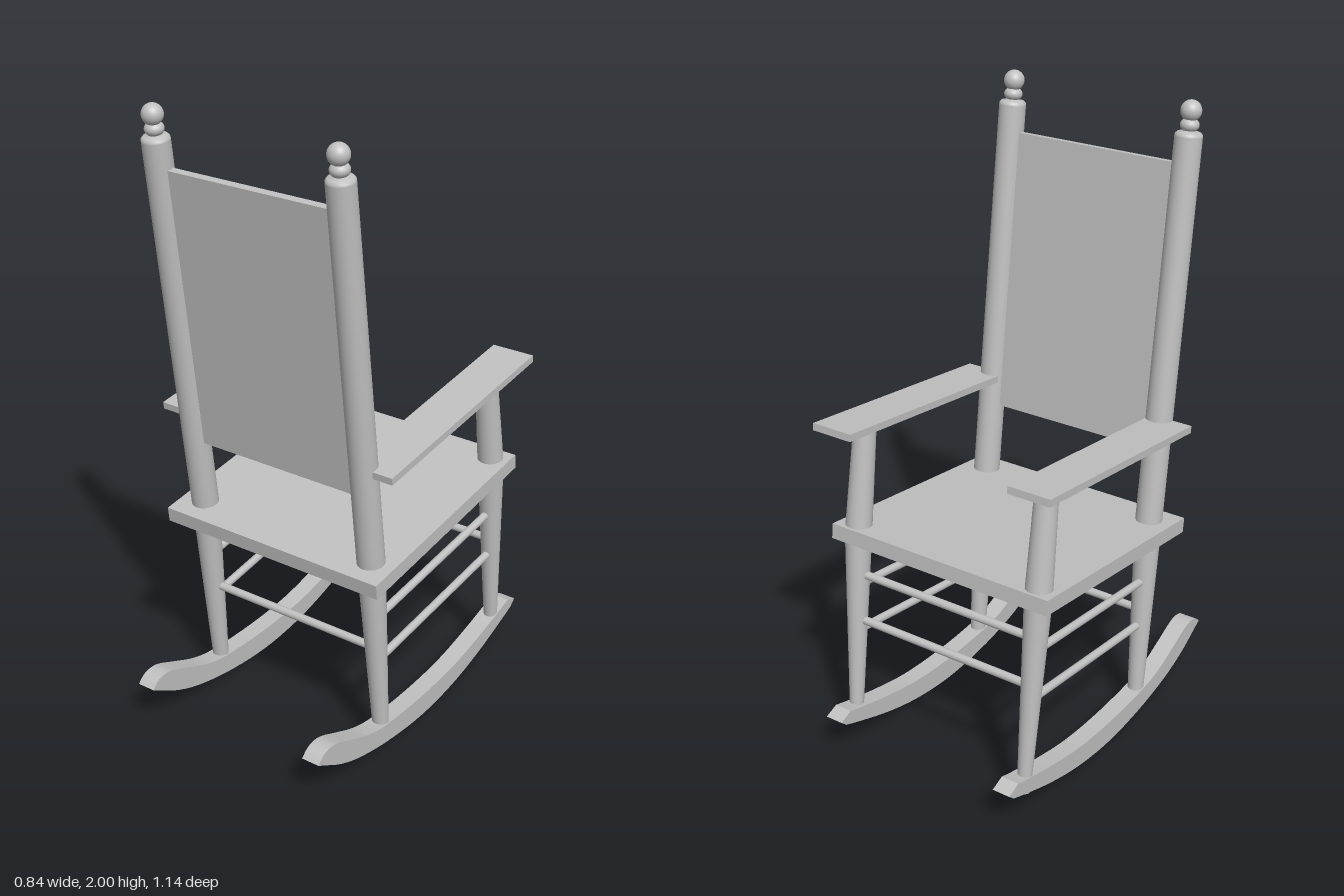
import * as THREE from 'three';

export function createModel() {
  const chair = new THREE.Group();
  chair.name = 'rockingChair';
  const grey = new THREE.MeshStandardMaterial({ color: 0xc0c0c0 });
  grey.name = 'grey';
  const up = new THREE.Vector3(0, 1, 0);

  const add = (name, geometry, parent = chair) => {
    const mesh = new THREE.Mesh(geometry, grey);
    mesh.name = name;
    parent.add(mesh);
    return mesh;
  };

  // Round rod from a (radius ra) to b (radius rb)
  const rod = (name, a, b, ra, rb = ra, sides = 28) => {
    const start = new THREE.Vector3(...a);
    const axis = new THREE.Vector3(...b).sub(start);
    const mesh = add(name, new THREE.CylinderGeometry(rb, ra, axis.length(), sides));
    mesh.position.copy(start).addScaledVector(axis, 0.5);
    mesh.quaternion.setFromUnitVectors(up, axis.normalize());
    return mesh;
  };

  // Board leaning about the x axis
  const board = (name, size, position, lean) => {
    const mesh = add(name, new THREE.BoxGeometry(...size));
    mesh.position.set(...position);
    mesh.rotation.x = lean;
  };

  // Seat and back panel
  board('seat', [0.79, 0.049, 0.793], [0, 0.697, -0.053], 0.117);
  board('backPanel', [0.56, 0.9, 0.025], [0, 1.367, 0.341], 0.125);

  // Rocker side profile, drawn as (z, y)
  const v = (z, y) => new THREE.Vector2(z, y);
  const profile = new THREE.Shape();
  profile.moveTo(0.568, 0.155);
  profile.splineThru([v(0.54, 0.178), v(0.5, 0.184), v(0.46, 0.173), v(0.4, 0.146), v(0.296, 0.103),
    v(0.19, 0.083), v(0, 0.075), v(-0.18, 0.084), v(-0.34, 0.113), v(-0.47, 0.145), v(-0.525, 0.161)]);
  profile.lineTo(-0.572, 0.143);
  profile.lineTo(-0.55, 0.123);
  profile.splineThru([v(-0.487, 0.099), v(-0.34, 0.05), v(-0.18, 0.014), v(0, 0),
    v(0.19, 0.016), v(0.35, 0.05), v(0.455, 0.09), v(0.53, 0.133)]);
  profile.closePath();
  const rockerGeometry = new THREE.ExtrudeGeometry(profile, { depth: 0.06, bevelEnabled: false, curveSegments: 4 });
  rockerGeometry.translate(0, 0, -0.03).rotateY(-Math.PI / 2);

  // Rounded shoulder and neck below the finial ball
  const shoulder = new THREE.LatheGeometry([
    v(0.042, 0), v(0.041, 0.006), v(0.035, 0.012), v(0.024, 0.014), v(0.015, 0.02), v(0.015, 0.05),
  ], 28);

  for (const s of [1, -1]) {
    const side = s > 0 ? 'left' : 'right';
    add(side + 'Rocker', rockerGeometry).position.x = s * 0.321;

    // Back post with a tapered leg
    rod(side + 'BackLeg', [s * 0.321, 0.08, 0.2], [s * 0.316, 0.66, 0.251], 0.026, 0.043);
    const post = rod(side + 'BackPost', [s * 0.316, 0.66, 0.251], [s * 0.313, 1.895, 0.407], 0.043, 0.042);

    // Finial in line with the post
    const finial = new THREE.Group();
    finial.name = side + 'Finial';
    finial.position.set(s * 0.313, 1.895, 0.407);
    finial.quaternion.copy(post.quaternion);
    add('finialShoulder', shoulder, finial);
    const bead = add('finialBead', new THREE.SphereGeometry(0.029, 24, 16), finial);
    bead.position.y = 0.032;
    bead.scale.y = 0.75;
    add('finialBall', new THREE.SphereGeometry(0.032, 28, 18), finial).position.y = 0.074;
    chair.add(finial);

    // Front leg, arm support and arm
    rod(side + 'FrontLeg', [s * 0.325, 0.083, -0.46], [s * 0.333, 0.735, -0.397], 0.021, 0.042);
    rod(side + 'ArmSupport', [s * 0.333, 0.735, -0.397], [s * 0.329, 1.085, -0.348], 0.042, 0.035);
    board(side + 'Arm', [0.142, 0.023, 0.79], [s * 0.351, 1.056, -0.083], 0.116);

    // Side stretchers
    rod(side + 'UpperStretcher', [s * 0.32, 0.477, 0.235], [s * 0.33, 0.555, -0.41], 0.013, 0.013, 16);
    rod(side + 'LowerStretcher', [s * 0.32, 0.319, 0.22], [s * 0.33, 0.397, -0.43], 0.013, 0.013, 16);
  }

  // Cross stretchers: two in front, one behind
  for (const [name, y, z] of [['frontUpperStretcher', 0.6, -0.41], ['frontLowerStretcher', 0.443, -0.425],
    ['backStretcher', 0.367, 0.225]]) {
    rod(name, [-0.32, y, z], [0.32, y, z], 0.013, 0.013, 16);
  }
  return chair;
}
